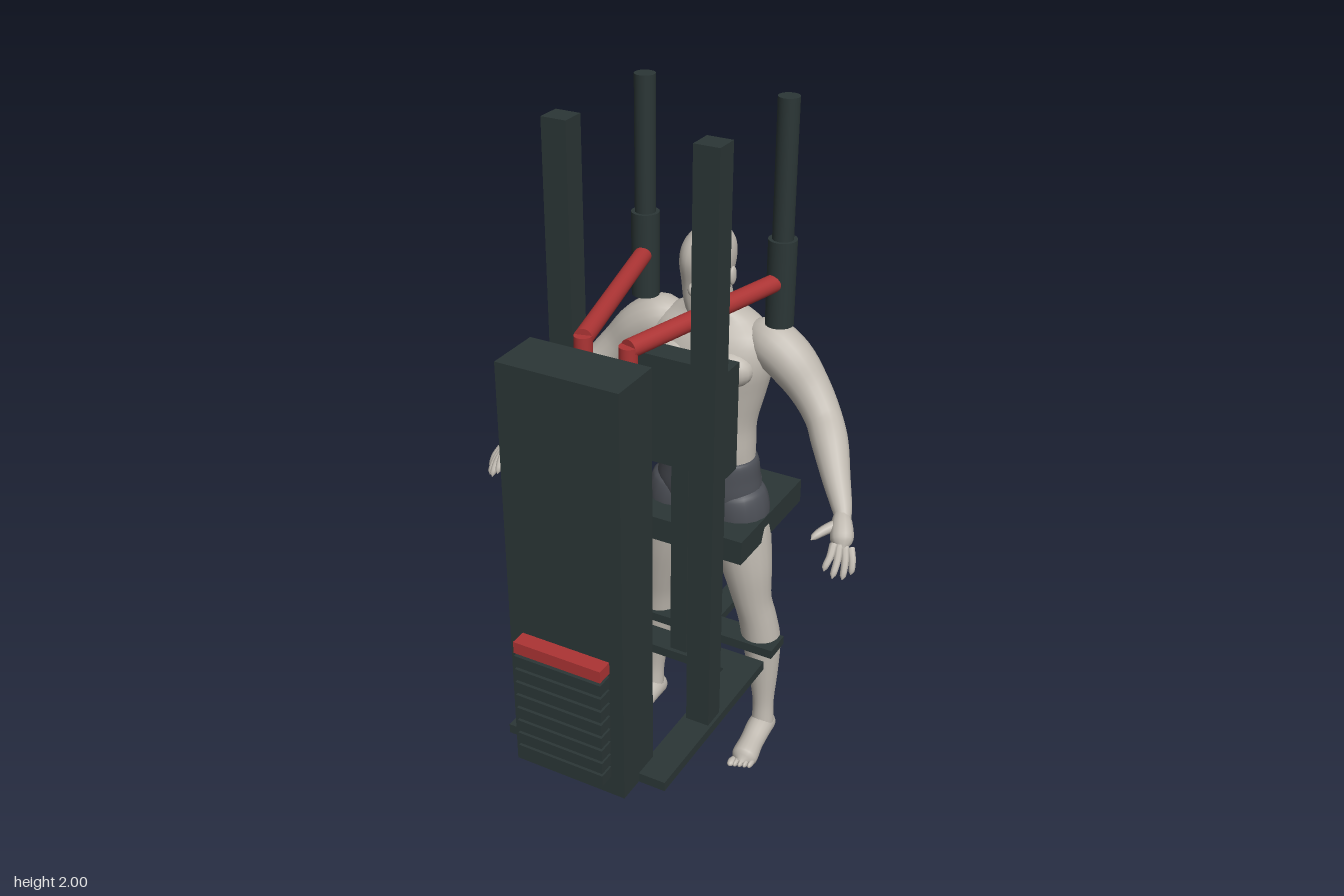
import * as THREE from 'three';
import { mergeVertices } from 'three/addons/utils/BufferGeometryUtils.js';

const mat = (name, color) => {
  const m = new THREE.MeshStandardMaterial({ color });
  m.name = name;
  return m;
};

export function createModel() {
  const root = new THREE.Group();
  root.name = 'standingPressMachine';
  const frame = mat('darkFrame', 0x2b3636);
  const red = mat('redMetal', 0xac3434);
  const skin = mat('paleSkin', 0xbfb9b0);
  const cloth = mat('greyShorts', 0x4b4e55);

  const machine = new THREE.Group();
  machine.name = 'machine';
  const person = new THREE.Group();
  person.name = 'person';
  root.add(machine, person);

  const add = (parent, name, geo, material) => {
    const mesh = new THREE.Mesh(geo, material);
    mesh.name = name;
    parent.add(mesh);
    return mesh;
  };
  // Box given by its lower and upper limits on each axis
  const box = (name, x0, x1, y0, y1, z0, z1, material = frame) =>
    add(machine, name, new THREE.BoxGeometry(x1 - x0, y1 - y0, z1 - z0), material)
      .position.set((x0 + x1) / 2, (y0 + y1) / 2, (z0 + z1) / 2);
  // Cylinder between two points
  const rod = (name, a, b, r, material) => {
    const p = new THREE.Vector3(...a), q = new THREE.Vector3(...b);
    const m = add(machine, name, new THREE.CylinderGeometry(r, r, p.distanceTo(q), 24), material);
    m.position.copy(p).lerp(q, 0.5);
    m.quaternion.setFromUnitVectors(new THREE.Vector3(0, 1, 0), q.sub(p).normalize());
  };
  const smooth = (geo) => {
    geo.deleteAttribute('uv');
    geo.deleteAttribute('normal');
    const g = mergeVertices(geo, 1e-5);
    g.computeVertexNormals();
    return g;
  };
  // Tapered limb through [x, y, z, radius] stations
  const limb = (name, stations, material = skin, steps = 32, sides = 18) => {
    const path = new THREE.CatmullRomCurve3(stations.map((s) => new THREE.Vector3(s[0], s[1], s[2])));
    const radii = new THREE.SplineCurve(stations.map((s, i) => new THREE.Vector2(i, s[3])));
    const geo = new THREE.TubeGeometry(path, steps, 1, sides, false);
    const pos = geo.attributes.position, v = new THREE.Vector3();
    for (let i = 0; i <= steps; i++) {
      const c = path.getPointAt(i / steps);
      const r = Math.max(0.0005, radii.getPoint(path.getUtoTmapping(i / steps)).y);
      for (let j = 0; j <= sides; j++) {
        const k = i * (sides + 1) + j;
        v.fromBufferAttribute(pos, k).sub(c).multiplyScalar(r).add(c);
        pos.setXYZ(k, v.x, Math.max(0, v.y), v.z);
      }
    }
    return add(person, name, smooth(geo), material);
  };
  // Upright body shape through [y, half width, centre z, half depth] stations
  const loft = (name, stations, material = skin, steps = 36, sides = 32) => {
    const a = new THREE.CatmullRomCurve3(stations.map((s) => new THREE.Vector3(s[0], s[1], s[2])));
    const d = new THREE.SplineCurve(stations.map((s, i) => new THREE.Vector2(i, s[3])));
    const pts = [], idx = [];
    for (let i = 0; i <= steps; i++) {
      const p = a.getPoint(i / steps), depth = Math.max(0.0005, d.getPoint(i / steps).y);
      for (let j = 0; j < sides; j++) {
        const t = (j / sides) * Math.PI * 2, c = Math.cos(t);
        pts.push(Math.sign(c) * Math.abs(c) ** 0.85 * Math.max(0.0005, p.y), p.x, p.z + Math.sin(t) * depth);
        if (i === steps) continue;
        const k = i * sides + j, n = i * sides + ((j + 1) % sides);
        idx.push(k, k + sides, n, n, k + sides, n + sides);
      }
    }
    const geo = new THREE.BufferGeometry();
    geo.setAttribute('position', new THREE.Float32BufferAttribute(pts, 3));
    geo.setIndex(idx);
    geo.computeVertexNormals();
    return add(person, name, geo, material);
  };
  const blob = (name, x, y, z, rx, ry, rz, material = skin) => {
    const m = add(person, name, new THREE.SphereGeometry(1, 20, 14), material);
    m.position.set(x, y, z);
    m.scale.set(rx, ry, rz);
  };

  // Weight tower and stack
  box('weightTower', -0.165, 0.165, 0.35, 1.53, 0.325, 0.475);
  for (let i = 0; i < 8; i++)
    box('weightPlate', -0.127, 0.127, 0.41 + i * 0.0415, 0.443 + i * 0.0415, 0.475, 0.52);
  box('topWeightPlate', -0.127, 0.127, 0.743, 0.777, 0.475, 0.52, red);

  // Base, seat and chest pad
  box('middleCrossbar', -0.155, 0.155, 0.35, 0.378, -0.19, -0.105);
  box('rearCrossbar', -0.24, 0.24, 0.35, 0.378, -0.33, -0.245);
  box('baseSpine', -0.03, 0.03, 0.351, 0.377, -0.517, -0.19);
  box('padPost', -0.026, 0.026, 0.378, 1.02, -0.17, -0.118);
  box('chestPad', -0.14, 0.14, 1.0, 1.32, -0.18, -0.105);
  box('seatPost', -0.028, 0.028, 0.378, 0.73, -0.315, -0.26);
  box('seat', -0.187, 0.187, 0.73, 0.803, -0.52, -0.13);

  for (const s of [-1, 1]) {
    box('baseRail', s * 0.1985 - 0.0435, s * 0.1985 + 0.0435, 0.35, 0.378, -0.19, 0.4);
    box('uprightPost', s * 0.2 - 0.034, s * 0.2 + 0.034, 0.378, 2, 0.075, 0.141);
    // Swinging press arm
    rod('hangingRod', [s * 0.2, 1.6, -0.287], [s * 0.2, 2, -0.287], 0.028, frame);
    rod('armSleeve', [s * 0.2, 1.4, -0.287], [s * 0.2, 1.635, -0.287], 0.038, frame);
    rod('pressArm', [s * 0.198, 1.522, -0.28], [s * 0.062, 1.522, 0.255], 0.024, red);
    rod('handleDrop', [s * 0.062, 1.375, 0.255], [s * 0.062, 1.53, 0.255], 0.023, red);
    rod('handleGrip', [s * 0.062, 1.31, 0.255], [s * 0.062, 1.376, 0.255], 0.018, frame);
  }

  // Torso, neck and head
  loft('torso', [[0.94, 0.135, -0.297, 0.085], [1.0, 0.135, -0.296, 0.092], [1.08, 0.137, -0.295, 0.09],
    [1.18, 0.16, -0.298, 0.1], [1.27, 0.18, -0.298, 0.104], [1.34, 0.175, -0.308, 0.088],
    [1.385, 0.12, -0.318, 0.064], [1.42, 0.06, -0.305, 0.054], [1.47, 0.05, -0.29, 0.052], [1.52, 0.045, -0.285, 0.045]]);
  loft('head', [[1.405, 0.002, -0.22, 0.002], [1.415, 0.028, -0.225, 0.036], [1.45, 0.049, -0.246, 0.066],
    [1.5, 0.06, -0.262, 0.085], [1.56, 0.067, -0.266, 0.096], [1.6, 0.059, -0.268, 0.085],
    [1.628, 0.036, -0.268, 0.055], [1.642, 0.001, -0.268, 0.001]]);
  blob('nose', 0, 1.495, -0.178, 0.011, 0.018, 0.014);
  // Shorts
  loft('shorts', [[0.775, 0.02, -0.297, 0.02], [0.79, 0.13, -0.297, 0.08], [0.85, 0.157, -0.296, 0.096],
    [0.91, 0.152, -0.296, 0.098], [0.965, 0.141, -0.296, 0.094], [0.972, 0.12, -0.296, 0.08]], cloth);

  for (const s of [-1, 1]) {
    blob('ear', s * 0.066, 1.51, -0.278, 0.008, 0.026, 0.016);
    blob('chestMuscle', s * 0.075, 1.265, -0.235, 0.078, 0.055, 0.05);
    blob('shoulderBlade', s * 0.09, 1.29, -0.35, 0.075, 0.075, 0.046);
    blob('buttock', s * 0.07, 0.865, -0.337, 0.072, 0.075, 0.06, cloth);
    limb('shortsLeg', [[s * 0.085, 0.9, -0.295, 0.04], [s * 0.09, 0.86, -0.295, 0.08],
      [s * 0.1, 0.79, -0.293, 0.087], [s * 0.104, 0.755, -0.292, 0.07]], cloth);
    // Arm with bent elbow
    limb('arm', [[s * 0.08, 1.35, -0.32, 0.02], [s * 0.15, 1.335, -0.315, 0.063], [s * 0.22, 1.295, -0.31, 0.068],
      [s * 0.29, 1.225, -0.302, 0.057], [s * 0.345, 1.165, -0.275, 0.05], [s * 0.385, 1.125, -0.23, 0.049],
      [s * 0.435, 1.065, -0.165, 0.038], [s * 0.482, 1.012, -0.105, 0.026], [s * 0.495, 0.995, -0.085, 0.02]]);
    // Hand
    limb('palm', [[s * 0.48, 1.012, -0.105, 0.018], [s * 0.495, 0.99, -0.075, 0.028],
      [s * 0.51, 0.962, -0.045, 0.03], [s * 0.518, 0.945, -0.028, 0.012]], skin, 12, 12);
    const tips = [[0.553, 0.89, -0.012], [0.54, 0.884, 0.012], [0.52, 0.892, 0.03], [0.498, 0.91, 0.034]];
    tips.forEach(([x, y, z], i) => {
      const kx = 0.535 - i * 0.012, ky = 0.948 + i * 0.005, kz = -0.045 + i * 0.009;
      limb('finger', [[s * kx, ky, kz, 0.011], [s * (kx * 0.5 + x * 0.5 + 0.004), (ky + y) / 2 + 0.005, (kz + z) / 2, 0.01],
        [s * x, y + 0.008, z - 0.004, 0.008], [s * x, y, z, 0.001]], skin, 8, 8);
    });
    limb('thumb', [[s * 0.485, 0.99, -0.07, 0.015], [s * 0.46, 0.98, -0.035, 0.013],
      [s * 0.447, 0.972, -0.01, 0.009], [s * 0.444, 0.968, 0, 0.001]], skin, 8, 8);
    // Leg
    limb('leg', [[s * 0.1, 0.8, -0.293, 0.082], [s * 0.112, 0.72, -0.29, 0.083], [s * 0.132, 0.62, -0.288, 0.073],
      [s * 0.15, 0.51, -0.292, 0.057], [s * 0.163, 0.44, -0.305, 0.056], [s * 0.174, 0.35, -0.317, 0.057],
      [s * 0.183, 0.25, -0.318, 0.046], [s * 0.19, 0.13, -0.314, 0.032], [s * 0.192, 0.06, -0.31, 0.034]]);
    // Foot with toes
    limb('foot', [[s * 0.19, 0.03, -0.362, 0.002], [s * 0.19, 0.033, -0.345, 0.03], [s * 0.191, 0.045, -0.3, 0.038],
      [s * 0.195, 0.03, -0.23, 0.036], [s * 0.199, 0.014, -0.17, 0.038], [s * 0.2, 0.01, -0.145, 0.012]]);
    for (let i = 0; i < 5; i++)
      blob('toe', s * (0.174 + i * 0.0135), 0.011, -0.141 - i * 0.005, i ? 0.008 : 0.012, 0.011, 0.021);
  }
  return root;
}
